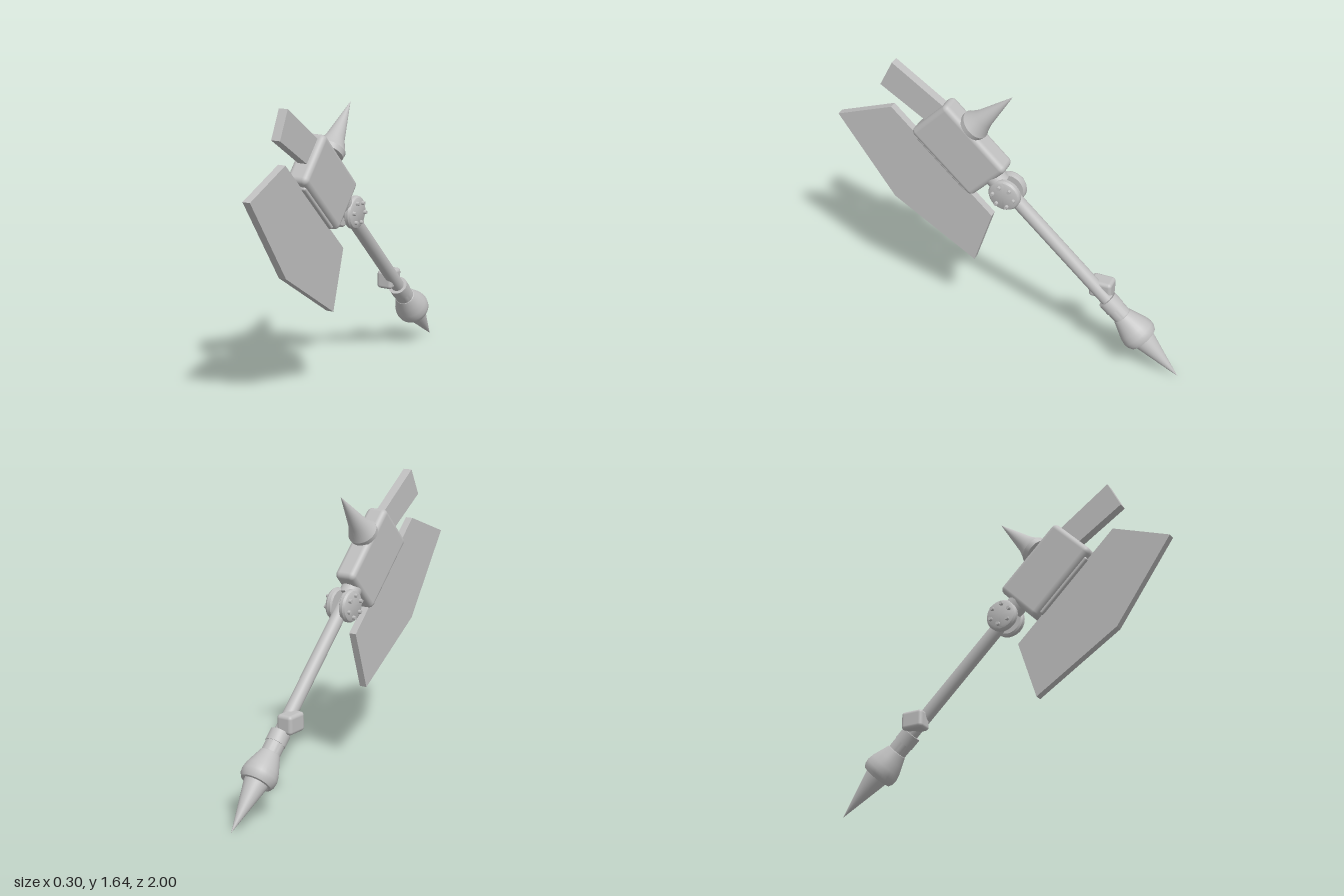
import * as THREE from 'three';
import { toCreasedNormals } from 'three/addons/utils/BufferGeometryUtils.js';
import { RoundedBoxGeometry } from 'three/addons/geometries/RoundedBoxGeometry.js';

const V = (x, y) => new THREE.Vector2(x, y);

// Lathe with sharp profile corners; points run upwards as [radius, height]
function turned(points, sides = 32) {
  return toCreasedNormals(new THREE.LatheGeometry(points.map(p => V(p[0], p[1])), sides), 0.5);
}

// Flat plate: outline as [across, along], thickness centred on x
function plate(points, thickness) {
  const g = new THREE.ExtrudeGeometry(new THREE.Shape(points.map(p => V(p[0], p[1]))),
    { depth: thickness, bevelEnabled: false });
  return g.translate(0, 0, -thickness / 2).rotateY(-Math.PI / 2);
}

export function createModel() {
  const model = new THREE.Group();
  model.name = 'battleAxe';
  const steel = new THREE.MeshStandardMaterial({ color: 0xc0c0c0 });
  steel.name = 'greySteel';

  const add = (parent, name, geometry, x = 0, y = 0, z = 0) => {
    const mesh = new THREE.Mesh(geometry, steel);
    mesh.name = name;
    mesh.position.set(x, y, z);
    parent.add(mesh);
    return mesh;
  };

  // The pommel tip is the pivot; the whole axe is yawed slightly, then leaned forward
  const yawed = new THREE.Group();
  yawed.name = 'yawedAxe';
  yawed.position.set(-0.08, 0, -1);
  yawed.rotation.y = 0.104;
  model.add(yawed);
  const axe = new THREE.Group(); // local y runs along the shaft, z towards the blade
  axe.name = 'leaningAxe';
  axe.rotation.x = THREE.MathUtils.degToRad(46);
  yawed.add(axe);

  // Handle
  add(axe, 'shaft', new THREE.CylinderGeometry(0.038, 0.038, 1, 32), 0, 1.05, 0);
  add(axe, 'pommelSpike', turned([[0, 0], [0.065, 0.29], [0.065, 0.32]]));
  add(axe, 'pommel', turned([
    [0.05, 0.315], [0.072, 0.292], [0.085, 0.295], [0.096, 0.315], [0.099, 0.34], [0.092, 0.375],
    [0.075, 0.42], [0.056, 0.47], [0.053, 0.472], [0.053, 0.597], [0.03, 0.597]]));
  add(axe, 'pommelRing', turned([[0.05, 0.53], [0.056, 0.53], [0.056, 0.597], [0.04, 0.597]]));
  add(axe, 'neckCollar', new THREE.CylinderGeometry(0.058, 0.058, 0.06, 32), 0, 1.5, 0);

  // Grip block stands upright beside the shaft
  add(yawed, 'gripBlock', new RoundedBoxGeometry(0.095, 0.105, 0.13, 3, 0.02), -0.034, 0.467, 0.473);

  // Pivot discs with six bolts each
  for (const side of [1, -1]) {
    const disc = new THREE.Group();
    disc.name = side > 0 ? 'leftPivot' : 'rightPivot';
    disc.position.y = 1.415;
    disc.rotation.z = -side * Math.PI / 2;
    axe.add(disc);
    add(disc, 'pivotDisc', turned([
      [0, 0.022], [0.08, 0.022], [0.09, 0.03], [0.091, 0.05], [0.084, 0.062], [0.072, 0.068], [0, 0.068]]));
    for (let i = 0; i < 6; i++) {
      const a = (i + 0.4) * Math.PI / 3;
      add(disc, 'bolt', new THREE.CylinderGeometry(0.01, 0.012, 0.02, 8),
        0.06 * Math.cos(a), 0.074, 0.06 * Math.sin(a));
    }
  }

  // Head
  add(axe, 'headBlock', new RoundedBoxGeometry(0.125, 0.48, 0.305, 3, 0.03), 0, 1.755, 0.03);
  add(axe, 'bladeMount', new RoundedBoxGeometry(0.085, 0.39, 0.08, 2, 0.01), 0, 1.75, 0.157);
  add(axe, 'blade', plate([
    [0.19, 1.351], [0.502, 1.2], [0.615, 1.754], [0.505, 2.306], [0.19, 2.157]], 0.043));
  add(axe, 'topBar', plate([
    [-0.088, 1.96], [0.064, 1.95], [0.133, 2.288], [-0.026, 2.337]], 0.052));

  // Rear spike points away from the blade
  const spike = turned([[0, 0.1], [0.08, 0.115], [0.083, 0.145], [0.072, 0.165], [0.052, 0.215], [0, 0.449]]);
  add(axe, 'rearSpike', spike.rotateX(-Math.PI / 2), 0, 1.807, 0);

  return model;
}
